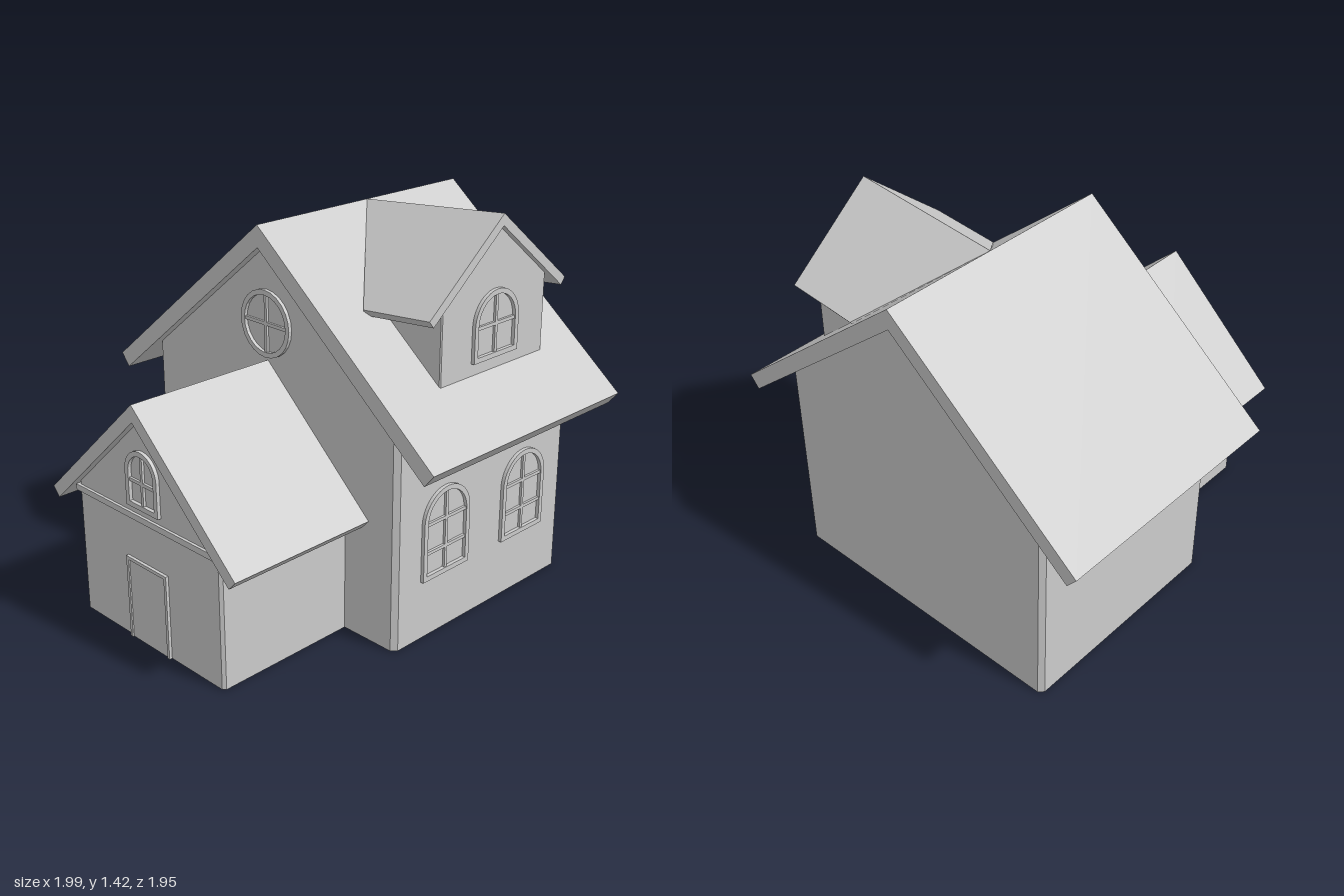
import * as THREE from 'three';

const grey = new THREE.MeshStandardMaterial({ color: 0xcccccc, flatShading: true });
const greyBoth = new THREE.MeshStandardMaterial({ color: 0xcccccc, flatShading: true, side: THREE.DoubleSide });

function add(parent, name, geometry, material = grey) {
  const mesh = new THREE.Mesh(geometry, material);
  mesh.name = name;
  parent.add(mesh);
  return mesh;
}

// Flat-shaded geometry from a list of quads, corners anticlockwise from outside
function quads(list) {
  const pos = [];
  for (const [a, b, c, d] of list) for (const p of [a, b, c, a, c, d]) pos.push(...p);
  const g = new THREE.BufferGeometry();
  g.setAttribute('position', new THREE.Float32BufferAttribute(pos, 3));
  g.computeVertexNormals();
  return g;
}

// Chevron slab with its ridge along z; back(u) gives the rear edge, tilt lowers it backwards
function gableRoof({ half, eave, ridge, t, front, back, tilt = 0 }) {
  const a = Math.atan2(ridge - eave, half);
  const dx = t * Math.sin(a), dy = t * Math.cos(a), dv = t / Math.cos(a);
  const profile = [[half, eave], [0, ridge], [-half, eave],
    [-half + dx, eave - dy], [0, ridge - dv], [half - dx, eave - dy]];
  const at = (u, y, z) => [u, y + tilt * (z - front), z];
  const F = profile.map(([u, y]) => at(u, y, front));
  const B = profile.map(([u, y]) => at(u, y, back(Math.abs(u))));
  const list = [[F[0], F[1], F[4], F[5]], [F[1], F[2], F[3], F[4]],
    [B[5], B[4], B[1], B[0]], [B[4], B[3], B[2], B[1]]];
  for (let i = 0; i < 6; i++) {
    const j = (i + 1) % 6;
    list.push([F[i], B[i], B[j], F[j]]);
  }
  return quads(list);
}

// Height of a roof's underside at distance u from the ridge
function underside({ half, eave, ridge, t }) {
  const s = (ridge - eave) / half;
  return (u) => ridge - t * Math.hypot(1, s) - s * Math.abs(u) + 0.006;
}

// Gabled wall shell with chamfered corners, open below and optionally at the back
function gableWalls({ w, z0, z1, c, top, bottom = () => 0, openBack = false }) {
  const ring = [[-w + c, z1], [0, z1], [w - c, z1], [w, z1 - c], [w, z0 + c],
    [w - c, z0], [0, z0], [-w + c, z0], [-w, z0 + c], [-w, z1 - c]];
  const list = [];
  ring.forEach(([x, z], i) => {
    if (openBack && i >= 4 && i <= 7) return;
    const [x2, z2] = ring[(i + 1) % ring.length];
    list.push([[x, bottom(z), z], [x2, bottom(z2), z2], [x2, top(x2), z2], [x, top(x), z]]);
  });
  return quads(list);
}

function archPath(Kind, w, h, inset = 0) {
  const r = w / 2 - inset, p = new Kind();
  p.moveTo(-r, inset);
  p.lineTo(r, inset);
  p.lineTo(r, h - w / 2);
  p.absarc(0, h - w / 2, r, 0, Math.PI, false);
  p.closePath();
  return p;
}

function extrudeFrame(shape, hole) {
  shape.holes.push(hole);
  return new THREE.ExtrudeGeometry(shape, { depth: 0.026, bevelEnabled: false, curveSegments: 12 }).translate(0, 0, -0.013);
}

// Frame with one upright and cross bars; its origin is the middle of the sill
function archWindow(name, w, h, bars) {
  const g = new THREE.Group();
  g.name = name;
  add(g, 'windowFrame', extrudeFrame(archPath(THREE.Shape, w, h), archPath(THREE.Path, w, h, 0.018)));
  add(g, 'windowUpright', new THREE.BoxGeometry(0.012, h - 0.02, 0.018)).position.y = h / 2;
  for (const y of bars) add(g, 'windowBar', new THREE.BoxGeometry(w - 0.02, 0.012, 0.018)).position.y = y;
  return g;
}

function roundWindow(name, r) {
  const g = new THREE.Group();
  g.name = name;
  add(g, 'windowFrame', extrudeFrame(new THREE.Shape().absarc(0, 0, r, 0, Math.PI * 2),
    new THREE.Path().absarc(0, 0, r - 0.018, 0, Math.PI * 2)));
  add(g, 'windowUpright', new THREE.BoxGeometry(0.012, 2 * r - 0.02, 0.018));
  add(g, 'windowBar', new THREE.BoxGeometry(2 * r - 0.02, 0.012, 0.018));
  return g;
}

function place(parent, object, x, y, z, turn = 0) {
  object.position.set(x, y, z);
  object.rotation.y = turn;
  parent.add(object);
}

export function createModel() {
  const model = new THREE.Group();
  model.name = 'house';
  const house = new THREE.Group();
  house.name = 'houseBody';
  house.rotation.y = -0.879;
  house.position.set(0.015, 0, 0.018);
  model.add(house);

  // Main block
  const main = { half: 0.79, eave: 0.725, ridge: 1.37, t: 0.06, front: 0.378, back: () => -0.61 };
  const mainSlope = (main.ridge - main.eave) / main.half;
  add(house, 'mainRoof', gableRoof(main));
  add(house, 'mainWalls', gableWalls({ w: 0.605, z0: -0.556, z1: 0.339, c: 0.018, top: underside(main) }), greyBoth);
  place(house, roundWindow('gableRoundWindow', 0.12), 0, 1.022, 0.339);
  for (const z of [0.097, -0.318]) {
    place(house, archWindow('sideWindow', 0.232, 0.325, [0.1, 0.207]), 0.605, 0.22, z, Math.PI / 2);
  }

  // Entrance wing
  const porch = { half: 0.481, eave: 0.448, ridge: 0.89, t: 0.045, front: 0.92, back: () => 0.29 };
  const wing = new THREE.Group();
  wing.name = 'entranceWing';
  house.add(wing);
  add(wing, 'entranceRoof', gableRoof(porch));
  add(wing, 'entranceWalls', gableWalls({ w: 0.372, z0: 0.3, z1: 0.886, c: 0.01, top: underside(porch), openBack: true }), greyBoth);
  add(wing, 'gableBand', new THREE.BoxGeometry(0.75, 0.022, 0.024)).position.set(0, 0.473, 0.884);
  place(wing, archWindow('gableWindow', 0.165, 0.21, [0.095]), 0, 0.51, 0.886);

  // Front door with its surround
  add(wing, 'door', new THREE.BoxGeometry(0.19, 0.3, 0.012)).position.set(0, 0.15, 0.886);
  for (const s of [-1, 1]) {
    add(wing, 'doorPost', new THREE.BoxGeometry(0.012, 0.31, 0.022)).position.set(s * 0.1, 0.155, 0.886);
  }
  add(wing, 'doorLintel', new THREE.BoxGeometry(0.212, 0.012, 0.022)).position.set(0, 0.304, 0.886);

  // Dormer, its ridge running back to the main ridge
  const dormerRoof = { half: 0.353, eave: 1.14, ridge: 1.425, t: 0.032, front: 0.611, back: (u) => 0.92 * u, tilt: 0.09 };
  const dormer = new THREE.Group();
  dormer.name = 'dormer';
  place(house, dormer, 0, 0, -0.143, Math.PI / 2);
  add(dormer, 'dormerRoof', gableRoof(dormerRoof));
  add(dormer, 'dormerWalls', gableWalls({
    w: 0.268, z0: 0.27, z1: 0.589, c: 0.004, openBack: true, top: underside(dormerRoof),
    bottom: (z) => main.ridge - mainSlope * z - 0.02,
  }), greyBoth);
  place(dormer, archWindow('dormerWindow', 0.227, 0.238, [0.118]), 0, 0.933, 0.589);

  return model;
}
